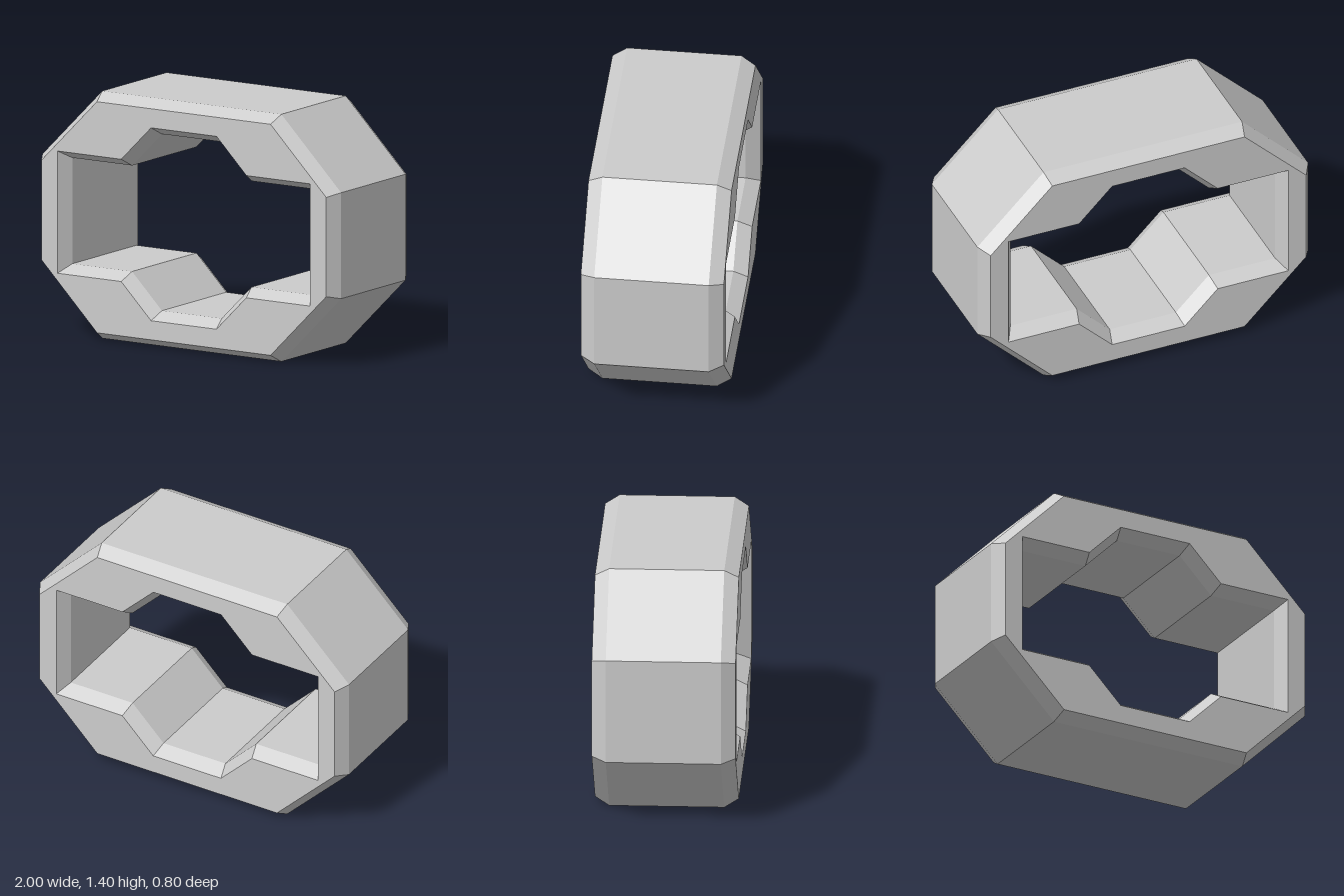
import * as THREE from 'three';

// Closed outline from the right half (bottom to top), mirrored to the left.
function mirrored(half) {
  const left = half.map(([x, y]) => [-x, y]).reverse();
  return [...half, ...left].map(([x, y]) => new THREE.Vector2(x, y));
}

export function createModel() {
  const group = new THREE.Group();
  group.name = 'octagonalFrame';

  // Octagonal outside with a stepped, cross-like opening
  const shape = new THREE.Shape(mirrored([[0.6, 0], [1, 0.4], [1, 1], [0.6, 1.4]]));
  const opening = mirrored([
    [0.2, 0.2], [0.4, 0.4], [0.8, 0.4], [0.8, 1], [0.4, 1], [0.2, 1.2],
  ]);
  shape.holes.push(new THREE.Path(opening));

  // Chamfers cut back into the rim, both outside and around the opening
  const chamfer = 0.046;
  const geometry = new THREE.ExtrudeGeometry(shape, {
    depth: 0.64,
    bevelEnabled: true,
    bevelThickness: 0.08,
    bevelSize: chamfer,
    bevelOffset: -chamfer,
    bevelSegments: 1,
  });
  geometry.translate(0, 0, -0.32);

  const frame = new THREE.Mesh(
    geometry,
    new THREE.MeshStandardMaterial({ color: 0xcccccc, flatShading: true }),
  );
  frame.name = 'frame';
  group.add(frame);
  return group;
}
